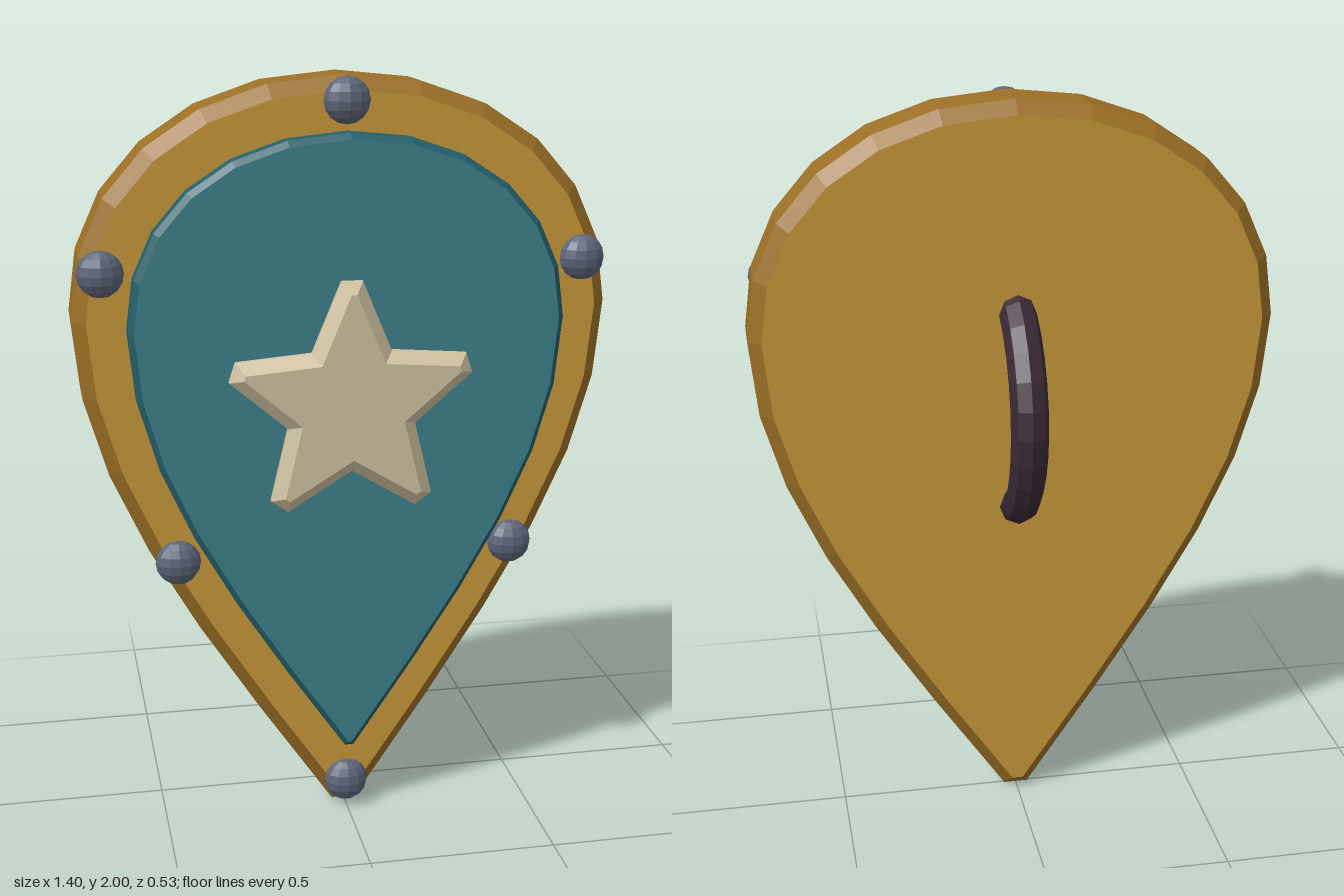
import * as THREE from 'three';

function paint(name, color) {
  const m = new THREE.MeshStandardMaterial({ color });
  m.name = name;
  return m;
}

// Faceted look for the curved built-in geometries
function faceted(geometry) {
  const g = geometry.toNonIndexed();
  g.computeVertexNormals();
  return g;
}

// Symmetric teardrop: shoulder curve, then a curve down to a narrow blunt tip
function teardrop(top, mid, tip, c1, c2, c3, c4) {
  const v = (p) => new THREE.Vector2(p[0], p[1]);
  const upper = new THREE.CubicBezierCurve(v([0, top]), v(c1), v(c2), v(mid)).getPoints(6);
  const lower = new THREE.CubicBezierCurve(v(mid), v(c3), v(c4), v(tip)).getPoints(6);
  const right = [...upper, ...lower.slice(1)];
  const left = right.slice(1).reverse().map((p) => new THREE.Vector2(-p.x, p.y));
  return new THREE.Shape([...right, ...left].reverse());
}

// Bevelled slab between two z values
function slab(name, shape, back, front, bevel, bevelZ, materials) {
  const geometry = new THREE.ExtrudeGeometry(shape, {
    depth: front - back - 2 * bevelZ,
    bevelEnabled: true,
    bevelSegments: 1,
    bevelSize: bevel,
    bevelThickness: bevelZ,
  });
  geometry.translate(0, 0, back + bevelZ);
  const mesh = new THREE.Mesh(geometry, materials);
  mesh.name = name;
  return mesh;
}

// Five-pointed star with slightly blunt tips
function star(cy, outer, inner, blunt) {
  const pts = [];
  for (let i = 0; i < 5; i++) {
    const a = Math.PI / 2 + (i * Math.PI * 2) / 5;
    const c = Math.cos(a), s = Math.sin(a);
    for (const t of [-blunt, blunt]) {
      pts.push(new THREE.Vector2(c * outer - s * t, cy + s * outer + c * t));
    }
    const b = a + Math.PI / 5;
    pts.push(new THREE.Vector2(Math.cos(b) * inner, cy + Math.sin(b) * inner));
  }
  return new THREE.Shape(pts);
}

export function createModel() {
  const gold = paint('gold', 0xc8983a);
  const darkGold = paint('dark gold', 0x9c7026);
  const teal = paint('teal', 0x3d808b);
  const darkTeal = paint('dark teal', 0x23606b);
  const cream = paint('cream', 0xd2c4a2);
  const steel = paint('steel', 0x5c6478);
  const leather = paint('dark leather', 0x3a2a36);

  const shield = new THREE.Group();
  shield.name = 'shield';

  // Main board with darker edge
  const board = teardrop(1.965, [0.665, 1.4], [0.015, 0.035],
    [0.4, 1.965], [0.665, 1.72], [0.665, 1.0], [0.42, 0.63]);
  shield.add(slab('board', board, -0.04, 0.165, 0.035, 0.035, [gold, darkGold]));

  // Raised front panel
  const panel = teardrop(1.85, [0.55, 1.38], [0.004, 0.216],
    [0.33, 1.85], [0.55, 1.65], [0.55, 1.02], [0.33, 0.69]);
  shield.add(slab('frontPanel', panel, 0.13, 0.225, 0.015, 0.015, [teal, darkTeal]));

  // Star emblem
  shield.add(slab('star', star(1.174, 0.294, 0.14, 0.007), 0.19, 0.266, 0.03, 0.027, cream));

  // Rivets around the rim
  const rivetGeometry = faceted(new THREE.SphereGeometry(0.06, 12, 8));
  const spots = [[0, 1.94], [0, 0.075]];
  for (const side of [-1, 1]) spots.push([side * 0.625, 1.525], [side * 0.45, 0.75]);
  for (const [x, y] of spots) {
    const rivet = new THREE.Mesh(rivetGeometry, steel);
    rivet.name = 'rivet';
    rivet.position.set(x, y, 0.165);
    rivet.scale.z = 0.75;
    shield.add(rivet);
  }

  // Curved grip on the back, its ends buried in the board
  const gripGeometry = faceted(new THREE.TorusGeometry(0.3, 0.05, 8, 14, Math.PI));
  gripGeometry.rotateZ(Math.PI / 2).rotateY(-Math.PI / 2);
  const grip = new THREE.Mesh(gripGeometry, leather);
  grip.name = 'grip';
  grip.position.set(0, 1.174, 0.085);
  shield.add(grip);

  return shield;
}
